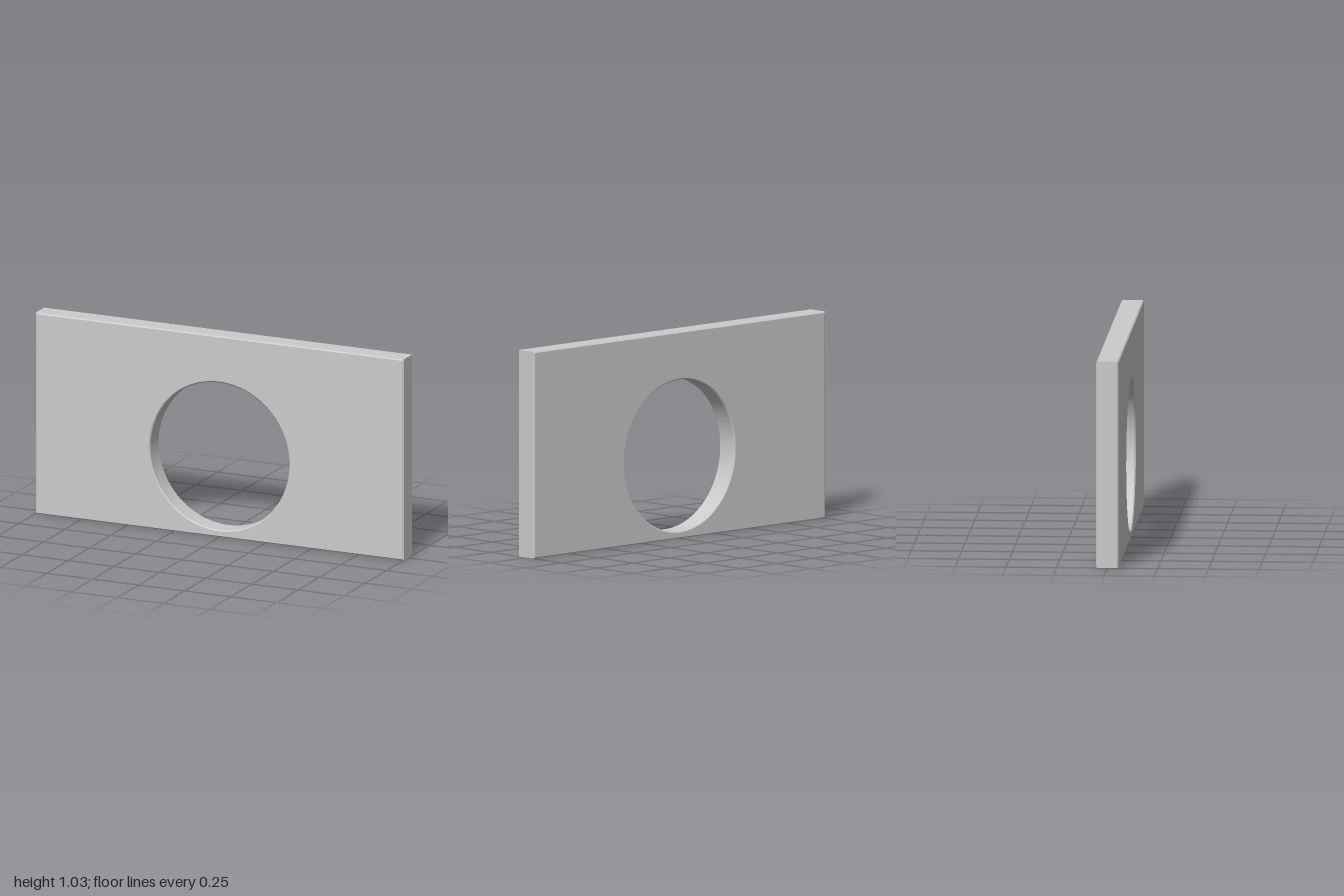
import * as THREE from 'three';
import { toCreasedNormals } from 'three/addons/utils/BufferGeometryUtils.js';

const WIDTH = 2, HEIGHT = 1.03, DEPTH = 0.11, BEVEL = 0.006;
const HOLE_Y = 0.414, HOLE_RADIUS = 0.378;

export function createModel() {
  const group = new THREE.Group();
  group.name = 'panelWithRoundOpening';

  // Rectangular outline standing on the ground
  const outline = new THREE.Shape();
  outline.moveTo(-WIDTH / 2, 0);
  outline.lineTo(WIDTH / 2, 0);
  outline.lineTo(WIDTH / 2, HEIGHT);
  outline.lineTo(-WIDTH / 2, HEIGHT);
  outline.closePath();

  // Round opening, set low in the panel
  const opening = new THREE.Path();
  opening.absarc(0, HOLE_Y, HOLE_RADIUS, 0, Math.PI * 2, true);
  outline.holes.push(opening);

  // Slab with a narrow chamfer on the outer edges and the opening's rims
  const slab = new THREE.ExtrudeGeometry(outline, {
    depth: DEPTH - 2 * BEVEL,
    curveSegments: 48,
    bevelEnabled: true,
    bevelSegments: 1,
    bevelSize: BEVEL,
    bevelThickness: BEVEL,
    bevelOffset: -BEVEL,
  });
  slab.translate(0, 0, BEVEL - DEPTH / 2);

  const panel = new THREE.Mesh(
    toCreasedNormals(slab, 0.5),
    new THREE.MeshStandardMaterial({ color: 0xcccccc })
  );
  panel.name = 'panel';
  group.add(panel);
  return group;
}
